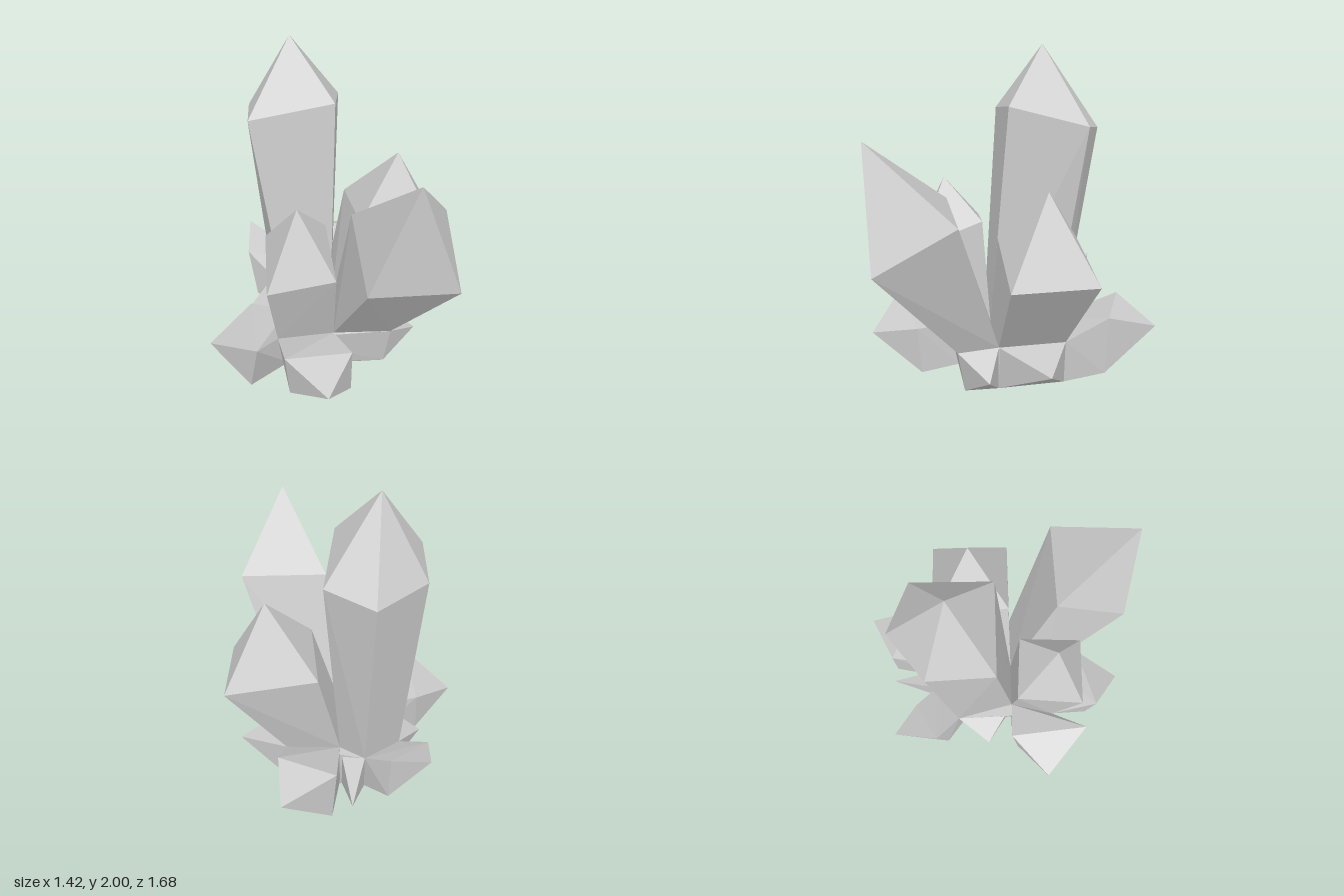
import * as THREE from 'three';
import { ConvexGeometry } from 'three/addons/geometries/ConvexGeometry.js';

// Corners of the rock base: upper ring (index 0 is the hub the big crystals share)
const top = [
  [0.04, 0.33, 0.11], [0.38, 0.33, 0.11], [0.39, 0.32, 0.35], [0.04, 0.33, 0.35], [-0.3, 0.33, 0.38],
  [-0.23, 0.33, 0.11], [-0.32, 0.33, -0.25], [-0.1, 0.33, -0.4], [0.05, 0.33, -0.3], [0.38, 0.33, -0.29],
];
// Matching lower ring
const low = [
  [0.05, 0.02, 0.11], [0.36, 0.045, 0.11], [0.36, 0.05, 0.31], [0.05, 0.05, 0.31], [-0.24, 0.09, 0.33],
  [-0.2, 0.08, 0.11], [-0.27, 0.08, -0.22], [-0.1, 0.06, -0.36], [0.05, 0.04, -0.29], [0.36, 0.05, -0.29],
];

const material = new THREE.MeshStandardMaterial({ color: 0xcccccc, flatShading: true });

// A faceted solid spanned by its corners
function facet(name, points) {
  const mesh = new THREE.Mesh(new ConvexGeometry(points.map((p) => new THREE.Vector3(...p))), material);
  mesh.name = name;
  return mesh;
}

// Upright crystal: grows from upper base corners to a shoulder ring and a tip
const upright = (name, corners, shoulder, tip) =>
  facet(name, [...corners.map((i) => top[i]), ...shoulder, tip]);

// Side crystal: grows out of the base wall between two corners
const sideways = (name, a, b, shoulder, tip) =>
  facet(name, [top[a], top[b], low[a], low[b], ...shoulder, tip]);

export function createModel() {
  const group = new THREE.Group();
  group.name = 'crystalCluster';

  group.add(
    facet('rockBase', [...top, ...low, [0.05, 0, -0.2]]),

    // Large upright crystals
    upright('tallCrystal', [5, 0, 8, 7, 6], [
      [-0.42, 1.59, 0], [0.07, 1.68, 0], [0.13, 1.56, -0.46], [-0.14, 1.5, -0.585], [-0.42, 1.54, -0.37],
    ], [-0.17, 2, -0.24]),
    upright('leftCrystal', [0, 1, 9, 8], [
      [0.22, 0.95, 0.09], [0.71, 0.82, 0.095], [0.71, 0.82, -0.39], [0.17, 0.91, -0.39],
    ], [0.47, 1.29, -0.15]),
    upright('frontLeftCrystal', [0, 1, 2, 3], [
      [0.13, 1.18, 0.37], [0.66, 1.18, 0.355], [0.66, 0.94, 0.8], [0.17, 0.94, 0.805],
    ], [0.41, 1.59, 0.815]),
    upright('frontRightCrystal', [0, 3, 4, 5], [
      [-0.35, 0.78, 0.535], [0.035, 0.85, 0.535], [0.005, 0.98, 0.15], [-0.35, 0.91, 0.13],
    ], [-0.17, 1.22, 0.36]),

    // Short crystals pointing outwards
    sideways('rightSideCrystal', 4, 5, [
      [-0.42, 0.43, 0.595], [-0.46, 0.39, 0.105], [-0.47, 0.1, 0.15], [-0.47, 0.1, 0.52],
    ], [-0.71, 0.285, 0.34]),
    sideways('frontSideCrystal', 3, 4, [
      [-0.265, 0.43, 0.67], [0.13, 0.36, 0.57], [0.13, 0.06, 0.55], [-0.24, 0.13, 0.63],
    ], [-0.03, 0.275, 0.84]),
    sideways('backLeftCrystal', 8, 9, [
      [0.07, 0.48, -0.69], [0.41, 0.48, -0.54], [0.4, 0.11, -0.53], [0.1, 0.15, -0.69],
    ], [0.38, 0.39, -0.84]),
    sideways('backRightCrystal', 6, 7, [
      [-0.25, 0.43, -0.53], [-0.48, 0.45, -0.39], [-0.43, 0.14, -0.33], [-0.24, 0.14, -0.53],
    ], [-0.465, 0.535, -0.65]),

    // Small points filling the gaps
    sideways('leftFrontSpike', 1, 2, [], [0.57, 0.21, 0.19]),
    sideways('leftSpike', 1, 9, [], [0.68, 0.28, -0.14]),
    sideways('backSpike', 7, 8, [], [-0.02, 0.24, -0.7]),
    sideways('rightSpike', 5, 6, [], [-0.47, 0.25, -0.05]),
  );
  return group;
}
